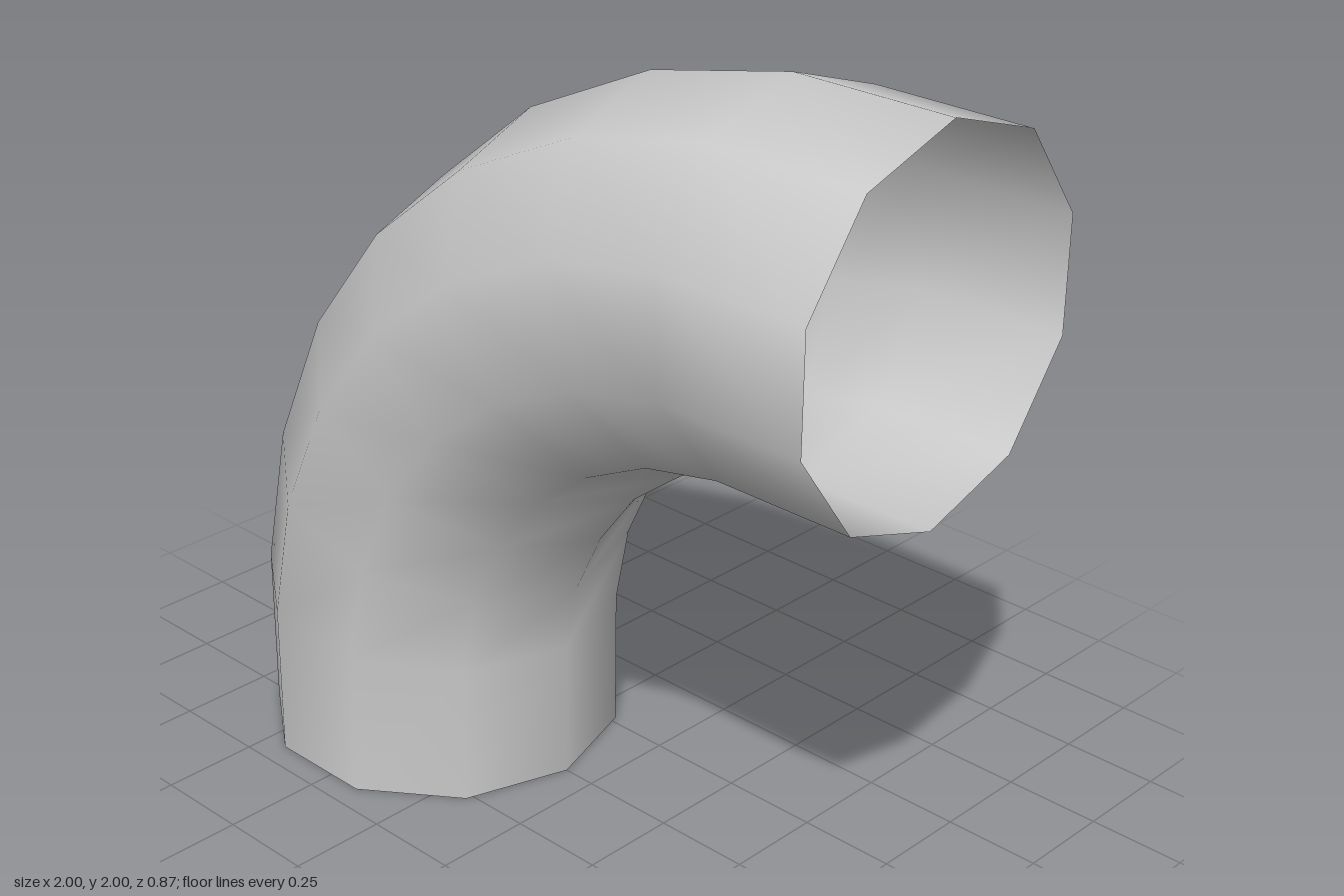
import * as THREE from 'three';

const SIDES = 10;
const RADIUS = 0.456;

// Lower half of the bend: [outer x, outer y, inner x, inner y] per ring
const HALF = [
  [-1, 0, -0.088, 0],
  [-1, 0.42, -0.087, 0.36],
  [-0.915, 0.82, -0.05, 0.545],
  [-0.743, 1.195, 0.03, 0.71],
];
const MIDDLE = [-0.5, 1.5, 0.1425, 0.8575];

// The upper half mirrors the lower one across the bend's diagonal
const mirrorRing = ([ox, oy, ix, iy]) => [1 - oy, 1 - ox, 1 - iy, 1 - ix];

function pipeGeometry() {
  const rings = [...HALF, MIDDLE, ...HALF.map(mirrorRing).reverse()];
  const positions = [];
  const indices = [];

  // Ten-sided cross-sections spanning each outer/inner pair
  rings.forEach(([ox, oy, ix, iy]) => {
    for (let s = 0; s < SIDES; s++) {
      const a = (s / SIDES) * Math.PI * 2;
      const t = (1 - Math.cos(a)) / 2;
      positions.push(ox + (ix - ox) * t, oy + (iy - oy) * t, RADIUS * Math.sin(a));
    }
  });

  // Skin between neighbouring rings, ends left open
  for (let r = 0; r < rings.length - 1; r++) {
    for (let s = 0; s < SIDES; s++) {
      const n = (s + 1) % SIDES;
      const a = r * SIDES + s, b = r * SIDES + n;
      const c = a + SIDES, d = b + SIDES;
      indices.push(a, b, d, a, d, c);
    }
  }

  const geometry = new THREE.BufferGeometry();
  geometry.setAttribute('position', new THREE.Float32BufferAttribute(positions, 3));
  geometry.setIndex(indices);
  geometry.computeVertexNormals();
  return geometry;
}

export function createModel() {
  const group = new THREE.Group();
  group.name = 'pipeElbow';

  // Thin open pipe, visible inside and out
  const material = new THREE.MeshStandardMaterial({ color: 0xcccccc, side: THREE.DoubleSide });
  const pipe = new THREE.Mesh(pipeGeometry(), material);
  pipe.name = 'bentPipe';
  group.add(pipe);
  return group;
}
